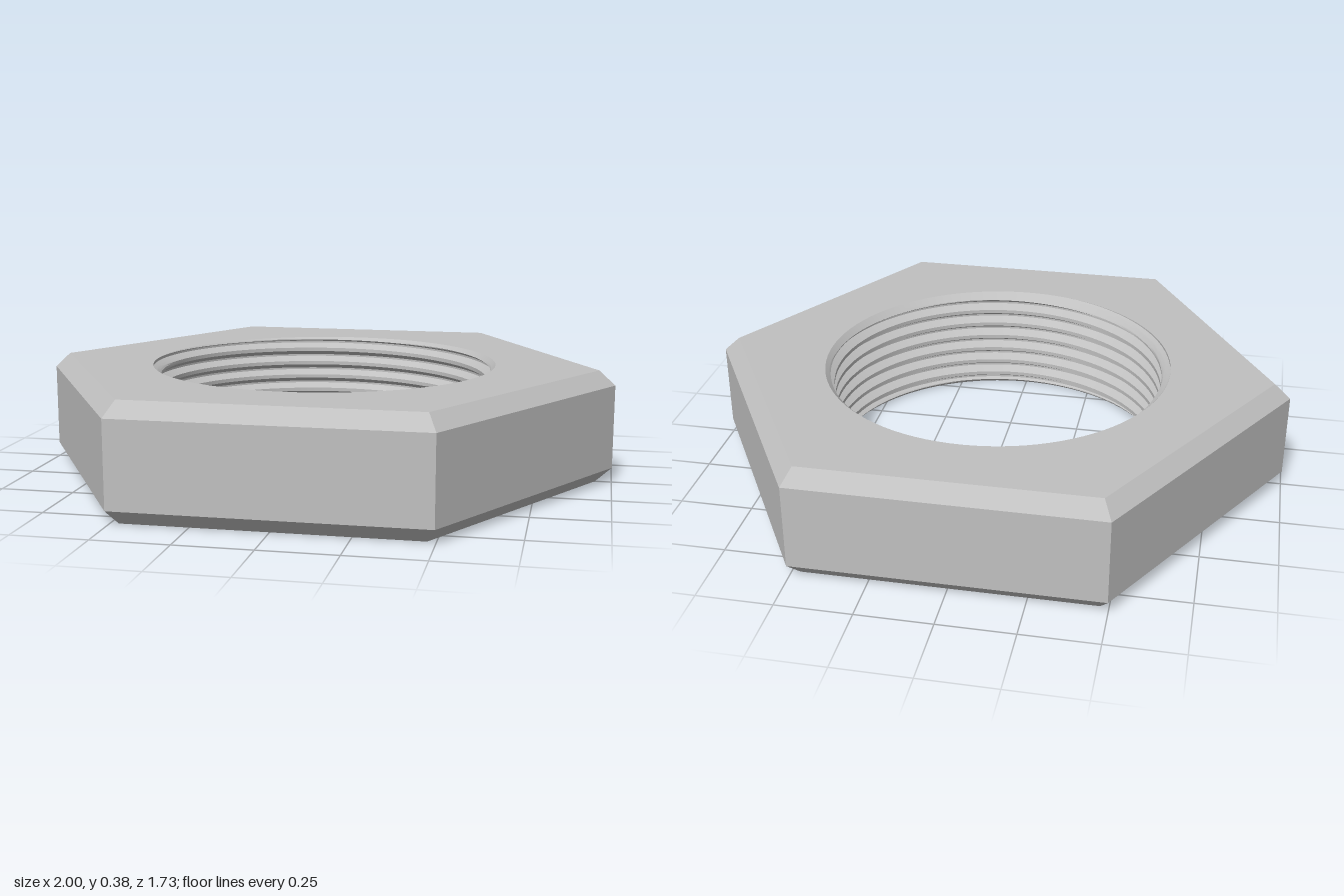
import * as THREE from 'three';
import { toCreasedNormals } from 'three/addons/utils/BufferGeometryUtils.js';

const H = 0.385, CHAMFER = 0.05, FACE_R = 0.945;   // hex body
const CREST = 0.566, ROOT = 0.595, PITCH = 0.053;  // internal thread
const SEG = 96, STEPS = 16;

// Thread radius within one turn, t in 0..1: flat crest, flank, narrow root, flank
function threadRadius(t) {
  const depth = t < 0.25 ? 0 : Math.min(1, (t - 0.25) / 0.3125, (1 - t) / 0.3125);
  return CREST + (ROOT - CREST) * depth;
}

// Helical bore surface whose rows climb one pitch per turn, trimmed at both faces
function boreGeometry() {
  const rows = (Math.ceil(H / PITCH) + 1) * STEPS;
  const pos = [], index = [], ys = [];
  for (let s = 0; s <= SEG; s++) {
    const a = (s / SEG) * Math.PI * 2;
    for (let j = 0; j <= rows; j++) {
      const y = THREE.MathUtils.clamp((j / STEPS - 1 + s / SEG) * PITCH, 0, H);
      const lead = ROOT - Math.min(y, H - y); // countersink at each mouth
      const r = Math.max(threadRadius((j % STEPS) / STEPS), lead);
      const edge = y === 0 || y === H;
      const rr = edge ? ROOT : r;
      pos.push(rr * Math.cos(a), y, -rr * Math.sin(a));
      ys.push(y);
    }
  }
  for (let s = 0; s < SEG; s++) {
    for (let j = 0; j < rows; j++) {
      const a0 = s * (rows + 1) + j, a1 = a0 + 1;
      const b0 = a0 + rows + 1, b1 = b0 + 1;
      if (ys[a1] > ys[a0]) index.push(a0, a1, b1);
      if (ys[b1] > ys[b0]) index.push(a0, b1, b0);
    }
  }
  const g = new THREE.BufferGeometry();
  g.setAttribute('position', new THREE.Float32BufferAttribute(pos, 3));
  g.setIndex(index);
  return toCreasedNormals(g, 0.5);
}

// Flat hexagonal ring in the ground plane, facing up
function faceGeometry() {
  const ring = (r, n) => Array.from({ length: n }, (_, i) => {
    const a = (i / n) * Math.PI * 2;
    return new THREE.Vector2(r * Math.cos(a), r * Math.sin(a));
  });
  const shape = new THREE.Shape(ring(FACE_R, 6));
  shape.holes.push(new THREE.Path(ring(ROOT, SEG).reverse()));
  return new THREE.ShapeGeometry(shape).rotateX(-Math.PI / 2);
}

export function createModel() {
  const steel = new THREE.MeshStandardMaterial({ color: 0xc0c0c0 });
  steel.name = 'steel grey';
  const nut = new THREE.Group();
  nut.name = 'hexNut';
  const add = (name, geometry) => {
    const mesh = new THREE.Mesh(geometry, steel);
    mesh.name = name;
    nut.add(mesh);
    return mesh;
  };

  // Six sides with bevelled upper and lower edges
  const profile = [
    [FACE_R, 0], [1, CHAMFER], [1, H - CHAMFER], [FACE_R, H],
  ].map(([x, y]) => new THREE.Vector2(x, y));
  const sides = new THREE.LatheGeometry(profile, 6).rotateY(Math.PI / 2);
  add('hexSides', toCreasedNormals(sides, 0.1));

  // Upper and lower faces
  add('topFace', faceGeometry()).position.y = H;
  add('bottomFace', faceGeometry().rotateX(Math.PI));

  // Threaded hole
  add('threadedBore', boreGeometry());
  return nut;
}
